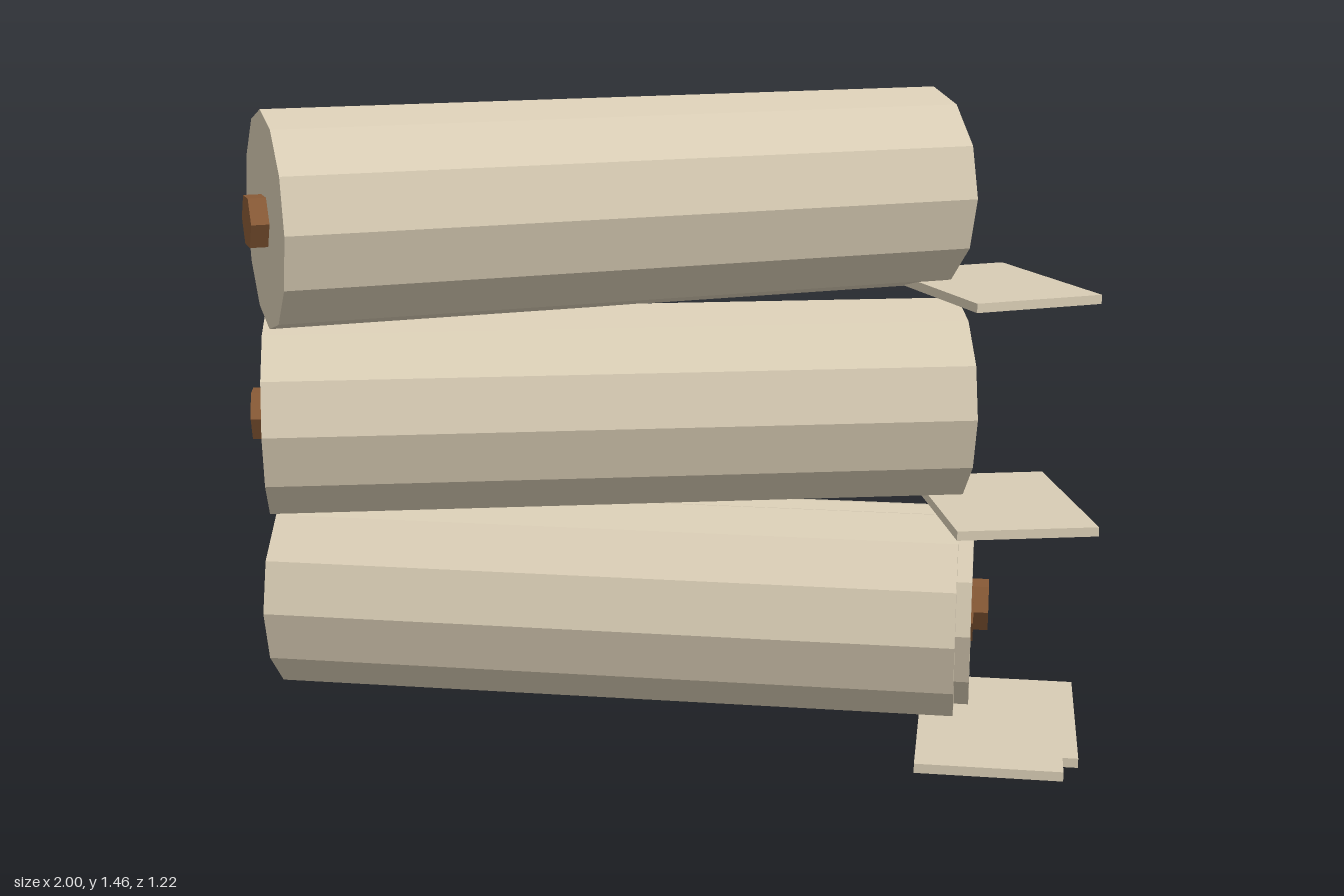
import * as THREE from 'three';

export function createModel() {
  const paper = new THREE.MeshStandardMaterial({ name: 'parchment', color: 0xd8ccb4, flatShading: true });
  const wood = new THREE.MeshStandardMaterial({ name: 'brown wood', color: 0x885a36, flatShading: true });

  // Shared parts, with the roll lying along x
  const rollGeo = new THREE.CylinderGeometry(0.245, 0.245, 1.64, 12).rotateZ(Math.PI / 2);
  const coreGeo = new THREE.CylinderGeometry(0.063, 0.063, 1.72, 6).rotateZ(Math.PI / 2);
  const flapGeo = new THREE.BoxGeometry(0.33, 0.022, 0.485);

  function addPart(group, name, geometry, material, x = 0, y = 0, z = 0) {
    const mesh = new THREE.Mesh(geometry, material);
    mesh.name = name;
    mesh.position.set(x, y, z);
    group.add(mesh);
  }

  // One scroll: rolled sheet, wooden core and the loose flap at one end
  function makeScroll(name, x, y, z, turn) {
    const scroll = new THREE.Group();
    scroll.name = name;
    addPart(scroll, 'roll', rollGeo, paper);
    addPart(scroll, 'core', coreGeo, wood);
    addPart(scroll, 'flap', flapGeo, paper, 0.905, -0.228, 0.165);
    scroll.position.set(x, y, z);
    scroll.rotation.y = turn;
    return scroll;
  }

  const model = new THREE.Group();
  model.name = 'scrollStack';

  // Three layers, each turned a little further
  ['bottomScroll', 'middleScroll', 'topScroll'].forEach((name, i) =>
    model.add(makeScroll(name, -0.14, 0.247 + i * 0.4865, 0, i * 0.25)));

  // A second bottom scroll, shifted along and behind the first
  model.add(makeScroll('bottomBackScroll', -0.105, 0.247, -0.082, 0));

  return model;
}
